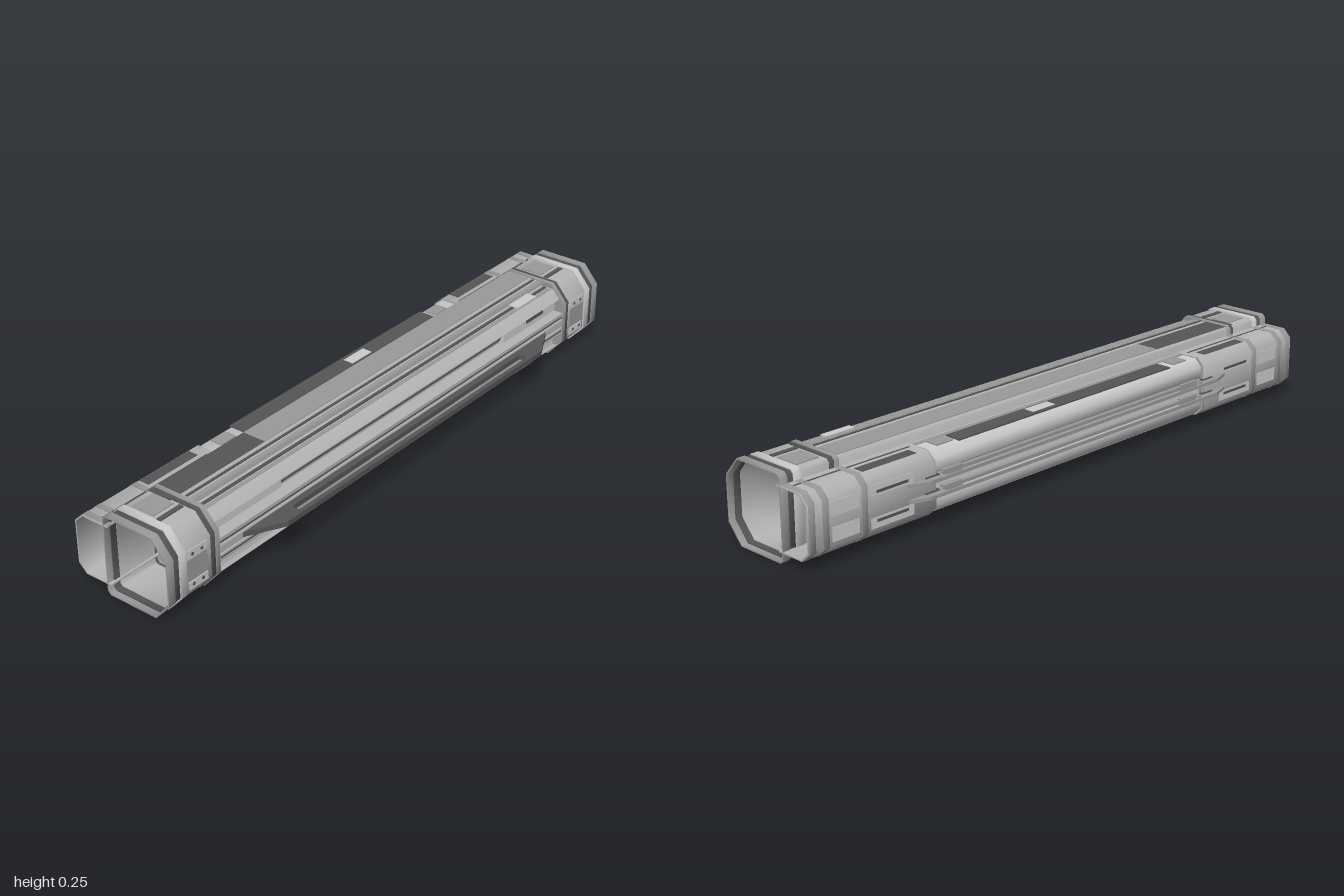
import * as THREE from 'three';
import { toCreasedNormals } from 'three/addons/utils/BufferGeometryUtils.js';

const MID = 0.124; // height of the long axis
const WALL = 0.004;
const tone = color => new THREE.MeshStandardMaterial({ color, side: THREE.DoubleSide });
const LIGHT = tone(0xcccccc), SHELL = tone(0xb4b4b4), GREY = tone(0x999999), DARK = tone(0x555555);

// Profiles are [z, y] points running front, top, back, bottom
const mirror = pts => pts.map(([z, y]) => [z, 2 * MID - y]).reverse();
const whole = half => [...half, ...mirror(half)];

// Move a profile inwards by t with mitred corners
function inset(pts, t, closed = true) {
  const n = pts.length;
  const normal = i => {
    const a = pts[(i + n) % n], b = pts[(i + 1) % n];
    const l = Math.hypot(b[0] - a[0], b[1] - a[1]);
    return [-(b[1] - a[1]) / l, (b[0] - a[0]) / l];
  };
  return pts.map(([z, y], i) => {
    const p = normal(!closed && i === 0 ? 0 : i - 1);
    const q = normal(!closed && i === n - 1 ? n - 2 : i);
    const k = t / (1 + p[0] * q[0] + p[1] * q[1]);
    return [z + (p[0] + q[0]) * k, y + (p[1] + q[1]) * k];
  });
}

const toPath = (pts, Kind) => new Kind(pts.map(([z, y]) => new THREE.Vector2(-z, y)));

function addMesh(group, name, geo, mat) {
  const m = new THREE.Mesh(geo, mat);
  m.name = name;
  group.add(m);
  return m;
}

// Extrude a profile along x, with an optional hole and soft chamfers
function prism(group, name, outer, hole, x0, x1, mat) {
  const shape = toPath(outer, THREE.Shape);
  if (hole) shape.holes.push(toPath(hole, THREE.Path));
  const geo = new THREE.ExtrudeGeometry(shape, { depth: x1 - x0, bevelEnabled: false });
  geo.rotateY(Math.PI / 2).translate(x0, 0, 0);
  return addMesh(group, name, toCreasedNormals(geo, 0.95), mat);
}
const tube = (g, name, pts, x0, x1, mat, t = WALL) => prism(g, name, pts, inset(pts, t), x0, x1, mat);
const channel = (g, name, pts, x0, x1, mat, t = WALL) =>
  prism(g, name, [...pts, ...inset(pts, t, false).reverse()], null, x0, x1, mat);

// Box from its limits on each axis
function box(group, name, x0, x1, y0, y1, z0, z1, mat) {
  const geo = new THREE.BoxGeometry(x1 - x0, y1 - y0, z1 - z0);
  return addMesh(group, name, geo.translate((x0 + x1) / 2, (y0 + y1) / 2, (z0 + z1) / 2), mat);
}

// Flat plate in x and z with a long slot
function slottedPlate(group, name, corners, slot, y0, y1, mat) {
  const shape = new THREE.Shape(corners.map(([x, z]) => new THREE.Vector2(x, z)));
  const [x, za, zb] = slot, r = (zb - za) / 2;
  const hole = new THREE.Path();
  hole.moveTo(-x + r, za);
  hole.lineTo(x - r, za);
  hole.absarc(x - r, za + r, r, -Math.PI / 2, Math.PI / 2, false);
  hole.lineTo(-x + r, zb);
  hole.absarc(-x + r, za + r, r, Math.PI / 2, Math.PI * 1.5, false);
  shape.holes.push(hole);
  const geo = new THREE.ExtrudeGeometry(shape, { depth: y1 - y0, bevelEnabled: false, curveSegments: 6 });
  return addMesh(group, name, geo.rotateX(Math.PI / 2).translate(0, y1, 0), mat);
}

export function createModel() {
  const model = new THREE.Group();
  model.name = 'longHousing';

  // Main body: grooved long tube
  const frontHalf = [[0.144, 0.16], [0.1, 0.16], [0.1, 0.21], [0.13, 0.205],
    [0.104, 0.232], [0.06, 0.232], [0.06, 0.244]];
  const bodyProfile = [...frontHalf, [-0.065, 0.244], [-0.073, 0.236],
    [-0.073, 0.027], [0, 0.027], [0.01, 0.004], ...mirror(frontHalf)];
  tube(model, 'mainBody', bodyProfile, -0.82, 0.82, SHELL, 0.003);

  // Rear housing: open channel, shallower along the middle
  const rearEnd = whole([[-0.06, 0.216], [-0.15, 0.216], [-0.177, 0.19]]);
  const rearMid = whole([[-0.06, 0.213], [-0.145, 0.213], [-0.167, 0.19], [-0.167, 0.158],
    [-0.16, 0.152], [-0.16, 0.14]]);
  channel(model, 'rearChannel', rearMid, -0.57, 0.57, LIGHT);

  // End collars
  const rim = whole([[0.147, 0.19], [0.097, 0.247], [-0.064, 0.247], [-0.075, 0.236]]);
  const collar = inset(rim, 0.004);
  for (const s of [-1, 1]) {
    const end = new THREE.Group();
    end.name = s > 0 ? 'leftEnd' : 'rightEnd';
    model.add(end);
    const span = (a, b) => s > 0 ? [a, b] : [-b, -a];
    tube(end, 'collarShell', collar, ...span(0.83, 0.96), SHELL);
    tube(end, 'outerRim', rim, ...span(0.975, 1), GREY);
    tube(end, 'rimGroove', inset(rim, 0.003), ...span(0.955, 0.98), DARK);
    tube(end, 'middleRim', rim, ...span(0.93, 0.955), LIGHT);
    tube(end, 'innerRim', rim, ...span(0.805, 0.82), GREY);
    tube(end, 'innerBand', inset(rim, 0.002), ...span(0.82, 0.835), DARK);
    prism(end, 'bulkhead', collar, inset(bodyProfile, 0.003), ...span(0.805, 0.81), GREY);
    channel(end, 'rearEndShell', rearEnd, ...span(0.56, 1), SHELL);
    prism(end, 'rearStep', [...rearEnd, ...inset(rearMid, 0.003, false).reverse()], null,
      ...span(0.56, 0.565), GREY);
    for (const x of [0.8, 0.93, 0.975]) {
      channel(end, 'rearBand', inset(rearEnd, -0.001, false), ...span(x, x + 0.02), GREY, 0.003);
    }
    box(end, 'rearTopPlate', ...span(0.6, 0.79), 0.215, 0.217, -0.148, -0.115, DARK);
    box(end, 'rearTopRib', ...span(0.58, 0.98), 0.215, 0.217, -0.1, -0.094, DARK);
    box(end, 'collarTopPlate', ...span(0.845, 0.92), 0.242, 0.2455, -0.045, 0.03, GREY);
    box(end, 'collarTopRib', ...span(0.84, 0.925), 0.242, 0.246, 0.045, 0.06, DARK);
    box(end, 'frontRecess', ...span(0.85, 0.925), 0.093, 0.155, 0.142, 0.1445, GREY);

    // Pads and studs, above and below the axis
    for (const up of [-1, 1]) {
      const y = v => MID + up * v;
      const pair = (a, b) => [Math.min(y(a), y(b)), Math.max(y(a), y(b))];
      box(end, 'frontPad', ...span(0.85, 0.92), ...pair(0.036, 0.06), 0.142, 0.1455, LIGHT);
      box(end, 'rearPad', ...span(0.83, 0.92), ...pair(0.015, 0.055), -0.1785, -0.175, LIGHT);
      box(end, 'rearSidePlate', ...span(0.64, 0.79), ...pair(0.03, 0.06), -0.1785, -0.175, LIGHT);
      box(end, 'rearSideSlot', ...span(0.66, 0.77), ...pair(0.036, 0.044), -0.179, -0.176, DARK);
      for (const x of [0.87, 0.905]) {
        const stud = addMesh(end, 'stud', new THREE.CylinderGeometry(0.005, 0.005, 0.004, 8), DARK);
        stud.rotation.x = Math.PI / 2;
        stud.position.set(s * x, y(0.046), 0.145);
      }
      // Clamp blocks beside the rear rails
      box(end, 'railClamp', ...span(0.46, 0.53), ...pair(0.012, 0.033), -0.176, -0.158, GREY);
      box(end, 'railFoot', ...span(0.55, 0.6), ...pair(0.014, 0.03), -0.182, -0.17, DARK);
      box(end, 'clampLatch', ...span(0.46, 0.52), ...pair(0.088, 0.0925), -0.14, -0.1, GREY);
    }
  }

  // Panels and ribs laid in the front grooves, above and below the axis
  for (const up of [-1, 1]) {
    const pair = (a, b) => [MID + Math.min(up * a, up * b), MID + Math.max(up * a, up * b)];
    box(model, 'groovePanel', -0.52, 0.52, ...pair(0.055, 0.078), 0.1, 0.107, GREY);
    box(model, 'grooveSeam', -0.52, 0.52, ...pair(0.046, 0.055), 0.1, 0.104, DARK);
    box(model, 'grooveBlock', 0.52, 0.8, ...pair(0.04, 0.083), 0.1, 0.116, LIGHT);
    box(model, 'ventPlate', 0.64, 0.73, ...pair(0.058, 0.078), 0.114, 0.119, DARK);
    box(model, 'grooveEndBlock', -0.8, -0.52, ...pair(0.04, 0.083), 0.1, 0.112, LIGHT);
    box(model, 'frontRib', -0.8, 0.8, ...pair(0.011, 0.017), 0.142, 0.146, LIGHT);
    box(model, 'frontSeam', -0.8, 0.8, ...pair(0.022, 0.026), 0.142, 0.1455, DARK);
    box(model, 'edgeStrip', -0.8, 0.8, ...pair(0.107, 0.111), 0.072, 0.082, DARK);
    box(model, 'edgeCover', 0.62, 0.72, ...pair(0.107, 0.115), 0.064, 0.098, LIGHT);
    box(model, 'edgeBed', -0.8, 0.8, ...pair(0.107, 0.109), 0.086, 0.1, GREY);
  }

  // Top deck: dark end panel, long raised panel and ribs
  box(model, 'deckEndPanel', -0.84, -0.47, 0.243, 0.2455, -0.064, 0.012, DARK);
  box(model, 'deckPanel', -0.47, 0.8, 0.243, 0.246, -0.064, 0.012, GREY);
  box(model, 'deckRib', -0.8, 0.8, 0.243, 0.2465, 0.028, 0.036, DARK);
  box(model, 'deckEdge', -0.8, 0.8, 0.243, 0.2455, 0.044, 0.059, GREY);

  // Rear tray on top of the channel
  box(model, 'rearTray', -0.43, 0.45, 0.212, 0.216, -0.152, -0.1, DARK);
  box(model, 'trayTab', 0.06, 0.15, 0.215, 0.2175, -0.14, -0.106, LIGHT);
  box(model, 'trayEdge', -0.56, 0.56, 0.212, 0.215, -0.096, -0.08, GREY);

  // Underside plates and straps
  box(model, 'bellyPlate', -0.8, 0.8, 0.002, 0.005, 0.014, 0.058, LIGHT);
  box(model, 'recessPlate', -0.8, 0.8, 0.025, 0.028, -0.07, -0.004, LIGHT);
  box(model, 'rearBellyPlate', -0.56, 0.56, 0.033, 0.036, -0.143, -0.078, LIGHT);
  for (const x of [-0.4, -0.34, 0.12, 0.18, 0.42]) {
    const strap = addMesh(model, 'undersideStrap', new THREE.TorusGeometry(0.025, 0.003, 4, 8, Math.PI), LIGHT);
    strap.rotation.set(Math.PI, Math.PI / 2, 0, 'YXZ');
    strap.scale.y = 0.6;
    strap.position.set(x, 0.026, -0.038);
  }

  // Front rail and paired rear rails
  slottedPlate(model, 'frontRail', [[-0.72, 0.14], [0.72, 0.14], [0.6, 0.203], [-0.6, 0.203]],
    [0.54, 0.164, 0.189], 0.117, 0.132, DARK);
  for (const y of [0.102, 0.146]) {
    slottedPlate(model, 'rearRail', [[-0.66, -0.145], [-0.66, -0.18], [-0.6, -0.201],
      [0.6, -0.201], [0.66, -0.18], [0.66, -0.145]], [0.54, -0.197, -0.172], y - 0.005, y + 0.005, GREY);
  }
  return model;
}
